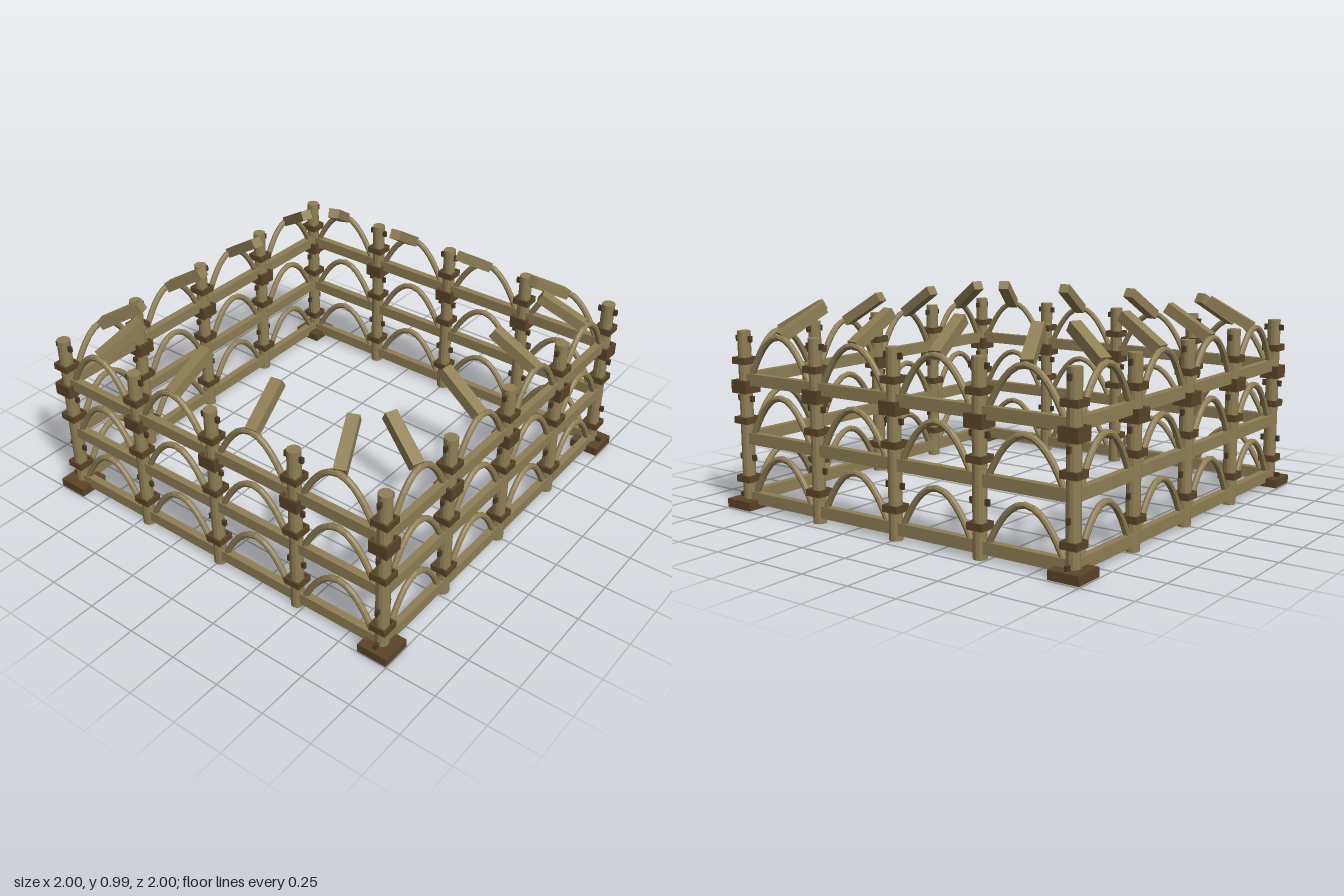
import * as THREE from 'three';

const mat = (name, color) => {
  const m = new THREE.MeshStandardMaterial({ color });
  m.name = name;
  return m;
};

export function createModel() {
  const wood = mat('wood', 0x8f7f55);
  const binding = mat('darkBinding', 0x5c4529);
  const pegWood = mat('pegWood', 0x4c3b25);
  wood.flatShading = true;

  const model = new THREE.Group();
  model.name = 'timberFrame';
  const H = 0.925; // distance of each wall from the centre
  const BAY = H / 2;
  const levels = [0.055, 0.343, 0.627];

  const add = (parent, name, geo, material, x = 0, y = 0, z = 0) => {
    const m = new THREE.Mesh(geo, material);
    m.name = name;
    m.position.set(x, y, z);
    parent.add(m);
    return m;
  };

  // Hollow square collar, lying flat and centred on its height
  const collarGeo = (outer, inner, h) => {
    const square = (C, s) => {
      const p = new C();
      p.moveTo(-s, -s); p.lineTo(s, -s); p.lineTo(s, s); p.lineTo(-s, s); p.closePath();
      return p;
    };
    const shape = square(THREE.Shape, outer / 2);
    shape.holes.push(square(THREE.Path, inner / 2));
    return new THREE.ExtrudeGeometry(shape, { depth: h, bevelEnabled: false })
      .translate(0, 0, -h / 2).rotateX(-Math.PI / 2);
  };

  // Parabolic arch spanning one bay
  class ArchCurve extends THREE.Curve {
    getPoint(t, target = new THREE.Vector3()) {
      const u = 2 * t - 1;
      return target.set(u * 0.192, 0.207 * (1 - u * u), 0);
    }
  }

  const postGeo = new THREE.CylinderGeometry(0.032, 0.032, 0.855, 12);
  const bigCollar = collarGeo(0.094, 0.07, 0.062);
  const smallCollar = collarGeo(0.084, 0.066, 0.032);
  const pegGeo = new THREE.BoxGeometry(0.1, 0.028, 0.014);
  const beamGeo = new THREE.BoxGeometry(2 * H, 0.056, 0.036);
  const archGeo = new THREE.TubeGeometry(new ArchCurve(), 14, 0.015, 8, false);
  const rafterGeo = new THREE.BoxGeometry(0.056, 0.05, 0.25);

  // Four identical walls, each owning one corner post
  for (let side = 0; side < 4; side++) {
    const wall = new THREE.Group();
    wall.name = 'wall' + (side + 1);
    wall.rotation.y = side * Math.PI / 2;
    model.add(wall);

    for (const y of levels) add(wall, 'beam', beamGeo, wood, 0, y, H);

    for (let i = 0; i < 4; i++) {
      // Posts with collars and cross pegs
      const x = -H + i * BAY;
      add(wall, 'post', postGeo, wood, x, 0.4275, H);
      add(wall, 'largeCollar', bigCollar, binding, x, 0.592, H);
      for (const y of [0.145, 0.43, 0.715]) add(wall, 'collar', smallCollar, binding, x, y, H);
      for (const y of [0.247, 0.532, 0.817]) add(wall, 'peg', pegGeo, pegWood, x, y, H);

      // Stacked arches in the bay
      const cx = x + BAY / 2;
      for (const y of levels) add(wall, 'arch', archGeo, wood, cx, y + 0.005, H);

      // Stub rafter leaning inward from the top arch
      const outer = new THREE.Vector3(cx, 0.838, 0.915);
      const inner = new THREE.Vector3(cx * 0.88, 0.966, 0.712);
      const mid = outer.clone().lerp(inner, 0.5);
      const rafter = add(wall, 'rafter', rafterGeo, wood, mid.x, mid.y, mid.z);
      const d = inner.sub(outer).normalize();
      rafter.rotation.order = 'YXZ';
      rafter.rotation.y = Math.atan2(d.x, d.z);
      rafter.rotation.x = -Math.asin(d.y);
    }

    // Corner foot plate and low peg
    add(wall, 'footPlate', new THREE.BoxGeometry(0.15, 0.042, 0.15), binding, -H, 0.026, H);
    add(wall, 'footPeg', new THREE.BoxGeometry(0.115, 0.028, 0.014), pegWood, -H, 0.055, H);
  }
  return model;
}
